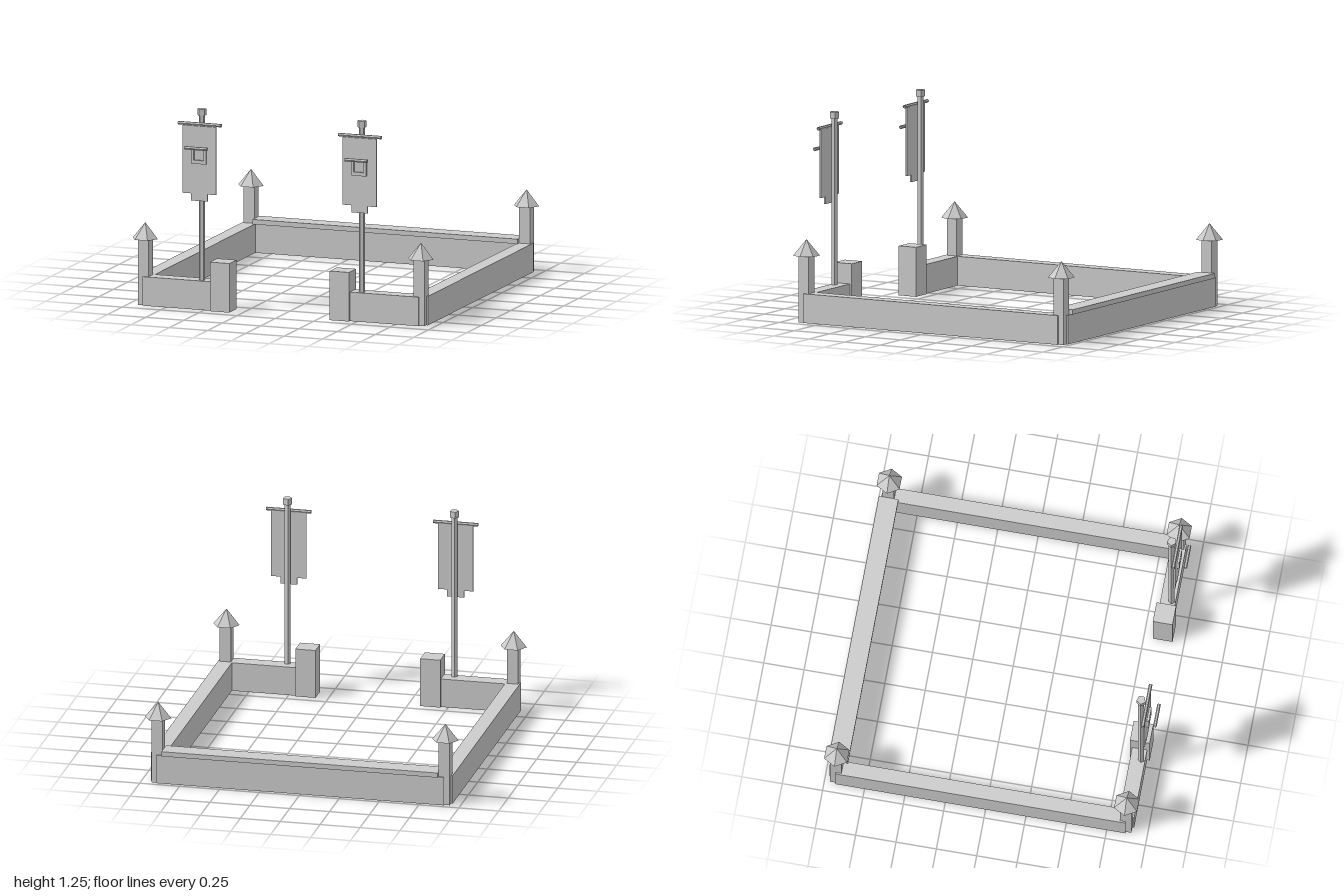
import * as THREE from 'three';

const stone = new THREE.MeshStandardMaterial({ color: 0xcccccc, flatShading: true });
stone.name = 'plain grey';
const openGrey = stone.clone();
openGrey.side = THREE.DoubleSide;

const POST_X = 0.9, FRONT_Z = 0.866, BACK_Z = -0.93;

export function createModel() {
  const root = new THREE.Group();
  root.name = 'walledYard';

  const add = (name, geometry, x, y, z, material = stone) => {
    const mesh = new THREE.Mesh(geometry, material);
    mesh.name = name;
    mesh.position.set(x, y, z);
    root.add(mesh);
    return mesh;
  };
  // Box given by its extents
  const box = (name, x0, x1, y0, y1, z0, z1) =>
    add(name, new THREE.BoxGeometry(x1 - x0, y1 - y0, z1 - z0),
      (x0 + x1) / 2, (y0 + y1) / 2, (z0 + z1) / 2);
  // Open-ended horizontal rod
  const rod = (name, length, x, y, z) =>
    add(name, new THREE.CylinderGeometry(0.011, 0.011, length, 6, 1, true).rotateZ(Math.PI / 2),
      x, y, z, openGrey);

  // Back wall and its coping
  box('backWall', -POST_X, POST_X, 0, 0.18, BACK_Z - 0.045, BACK_Z + 0.045);
  box('backCoping', -0.865, 0.865, 0.18, 0.21, -0.988, -0.867);

  // Banner outline with a narrower tail
  const cloth = new THREE.Shape([
    [-0.11, 1.145], [-0.11, 0.724], [-0.053, 0.724], [-0.053, 0.68],
    [0.053, 0.68], [0.053, 0.724], [0.11, 0.724], [0.11, 1.145],
  ].map(([x, y]) => new THREE.Vector2(x, y)));
  const clothGeometry = new THREE.ExtrudeGeometry(cloth, { depth: 0.01, bevelEnabled: false });

  // Square emblem frame
  const rect = (Type, w, y0, y1) => new Type([
    new THREE.Vector2(-w, y0), new THREE.Vector2(w, y0),
    new THREE.Vector2(w, y1), new THREE.Vector2(-w, y1),
  ]);
  const frame = rect(THREE.Shape, 0.048, 0.912, 1.015);
  frame.holes.push(rect(THREE.Path, 0.032, 0.934, 1.002));
  const frameGeometry = new THREE.ExtrudeGeometry(frame, { depth: 0.014, bevelEnabled: false });

  for (const [side, s] of [['left', 1], ['right', -1]]) {
    // Side wall, front wall and gate pier
    const x = s * POST_X;
    box(side + 'SideWall', x - 0.045, x + 0.045, 0, 0.18, BACK_Z, FRONT_Z);
    const ends = [s * 0.391, x].sort((a, b) => a - b);
    box(side + 'FrontWall', ends[0], ends[1], 0, 0.18, 0.819, 0.912);
    box(side + 'GatePier', s * 0.391 - 0.063, s * 0.391 + 0.063, 0, 0.305, 0.806, 0.928);

    // Corner posts with six-sided roofs
    for (const [end, z] of [['Front', FRONT_Z], ['Back', BACK_Z]]) {
      box(side + end + 'Post', x - 0.035, x + 0.035, 0, 0.415, z - 0.035, z + 0.035);
      add(side + end + 'PostRoof',
        new THREE.ConeGeometry(0.082, 0.1, 6).rotateY(Math.PI / 6), x, 0.46, z);
    }

    // Banner pole and finial
    const px = s * 0.523, pz = 0.888;
    add(side + 'BannerPole',
      new THREE.CylinderGeometry(0.019, 0.019, 1.03, 5).rotateY(-Math.PI / 2), px, 0.695, pz);
    add(side + 'PoleFinial',
      new THREE.CylinderGeometry(0.029, 0.029, 0.04, 5).rotateY(-Math.PI / 2), px, 1.226, pz);

    // Hanging banner with its crossbar and emblem
    rod(side + 'Crossbar', 0.282, px, 1.156, 0.921);
    add(side + 'BannerCloth', clothGeometry, px, 0, 0.92);
    add(side + 'EmblemFrame', frameGeometry, px, 0, 0.93);
    rod(side + 'EmblemBar', 0.148, px, 1.016, 0.985);
  }
  return root;
}
